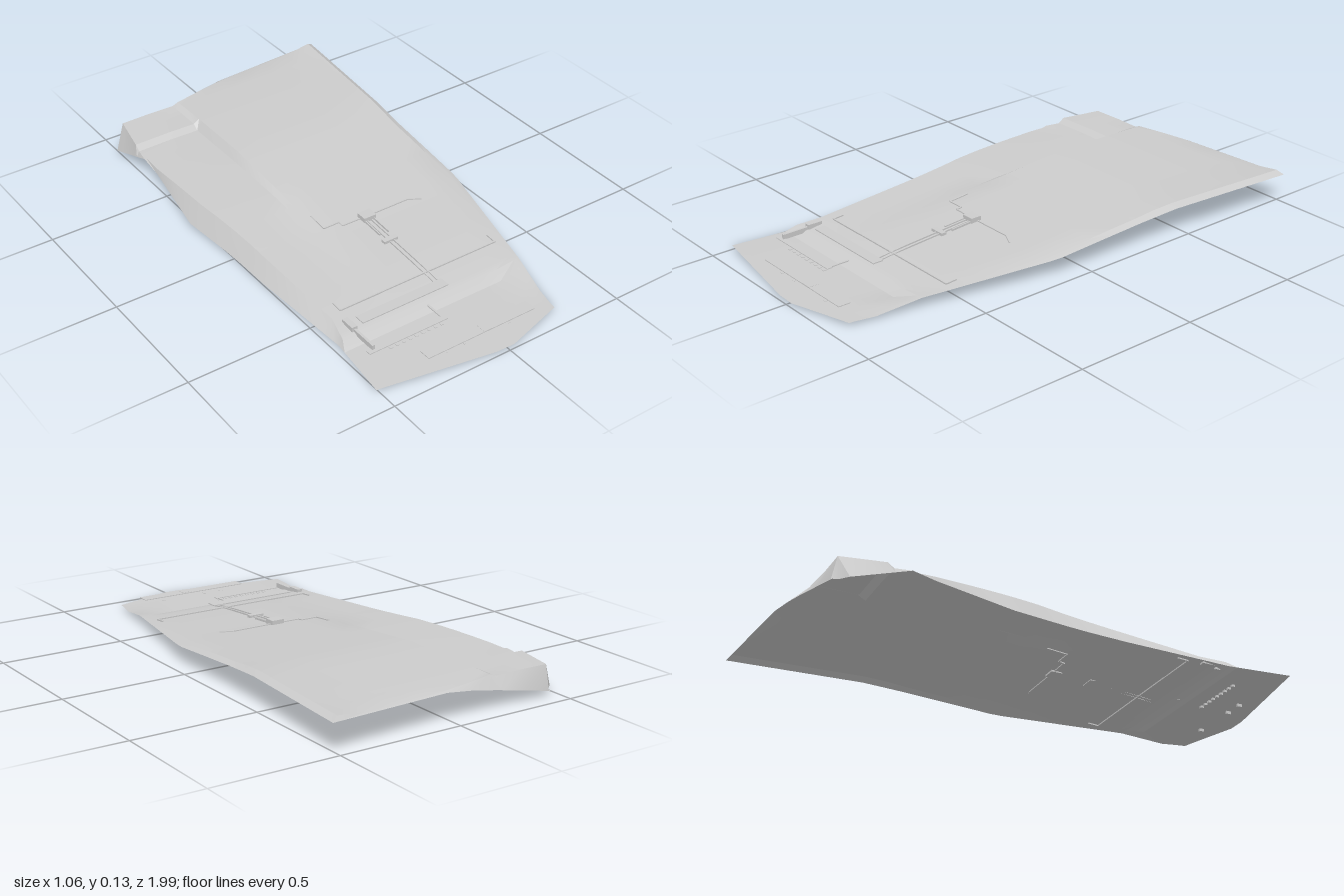
import * as THREE from 'three';
import { toCreasedNormals } from 'three/addons/utils/BufferGeometryUtils.js';

const grey = new THREE.MeshStandardMaterial({ color: 0xcccccc, side: THREE.DoubleSide });

// piecewise linear lookup through [key, value] pairs
function along(pairs, t) {
  if (t <= pairs[0][0]) return pairs[0][1];
  for (let i = 1; i < pairs.length; i++) {
    const [a, va] = pairs[i - 1], [b, vb] = pairs[i];
    if (t <= b) return va + (vb - va) * (t - a) / (b - a);
  }
  return pairs[pairs.length - 1][1];
}

// plan outline: x of the sides by z, z of the ends by x
const leftX = [[-0.93, -0.47], [-0.89, -0.51], [-0.56, -0.505], [-0.27, -0.53], [0, -0.505], [0.2, -0.5], [0.65, -0.48], [0.91, -0.51]];
const cliffX = [[-0.91, -0.46], [-0.74, -0.495], [-0.56, -0.5], [-0.25, -0.485], [0, -0.46], [0.55, -0.44], [0.65, -0.465], [0.91, -0.48]];
const rightX = [[-1, 0.53], [-0.3, 0.47], [0.12, 0.45], [0.92, 0.27]];
const backZ = [[-0.47, -0.93], [0, -0.965], [0.53, -1]];
const backRimZ = [[-0.46, -0.91], [-0.2, -0.91], [0, -0.955], [0.5, -0.985]];
const frontZ = [[-0.51, 0.91], [0, 1], [0.27, 0.92]];

// heights by z
const mainY = [[-0.96, 0.12], [-0.75, 0.127], [-0.45, 0.127], [-0.15, 0.103], [0.15, 0.076], [0.55, 0.048], [0.65, 0.034], [0.69, 0.012]];
const lowY = [[-0.91, 0.112], [-0.74, 0.112], [-0.715, 0.094], [-0.4, 0.096], [-0.15, 0.091], [0.05, 0.078], [0.15, 0.071], [0.55, 0.047], [0.65, 0.034], [0.69, 0.012]];
const leftEdgeY = [[-0.92, 0.015], [-0.88, 0.015], [-0.65, 0.095], [-0.27, 0.015], [0.2, 0.006], [0.6, 0.011]];
const rightEdgeY = [[-1, 0.118], [-0.45, 0.115], [-0.1, 0.088], [0.12, 0.07], [0.65, 0.042], [0.82, 0.012]];

const rows = [-0.965, -0.925, -0.88, -0.83, -0.74, -0.715, -0.65, -0.56, -0.45, -0.36, -0.27, -0.2, -0.15, -0.05,
  0.04, 0.1, 0.15, 0.2, 0.3, 0.42, 0.55, 0.62, 0.65, 0.69, 0.75, 0.82, 0.9, 0.95];

// centre-ground height, with the raised terrace to the right of x = -0.2
function groundY(x, z) {
  const t = THREE.MathUtils.clamp((x + 0.225) / 0.025, 0, 1);
  const gap = x < -0.225 ? 0.012 * (x + 0.5) : 0;
  const fade = THREE.MathUtils.clamp((0.1 - z) / 0.4, 0, 1);
  return THREE.MathUtils.lerp(along(lowY, z) + gap * fade, along(mainY, z), t);
}

function buildTerrain() {
  const pos = [], idx = [];
  const inner = 6, cols = 5 + inner + 1;
  rows.forEach((rz, r) => {
    const z0 = THREE.MathUtils.clamp(rz, -0.96, 0.91);
    const L = along(leftX, z0), C = along(cliffX, z0);
    const R = along(rightX, r === 0 ? -1 : r === 1 ? -0.98 : z0);
    const xs = [L, C, -0.34, -0.225, -0.2];
    for (let i = 1; i <= inner; i++) xs.push(-0.2 + (R - 0.025 + 0.2) * i / inner);
    xs.push(R);
    xs.forEach((x, c) => {
      let z = rz;
      if (r === 0) z = along(backZ, x);
      if (r === 1) z = along(backRimZ, x);
      if (r === rows.length - 1) z = along(frontZ, x);
      let y = groundY(x, z);
      if (c === 0) y = along(leftEdgeY, z);
      if (c === cols - 1) y = along(rightEdgeY, z);
      if (c === cols - 2) y = Math.max(y, along(rightEdgeY, z) + (z < -0.3 ? 0.016 : 0));
      // low back left corner
      if (r === 0) y = along([[-0.47, 0.015], [-0.2, 0.075], [0, 0.115], [0.53, 0.118]], x);
      pos.push(x, y, z);
      if (r && c) {
        const d = (r * cols) + c, b = d - cols;
        idx.push(b - 1, d - 1, b, b, d - 1, d);
      }
    });
  });
  const g = new THREE.BufferGeometry();
  g.setAttribute('position', new THREE.Float32BufferAttribute(pos, 3));
  g.setIndex(idx);
  return toCreasedNormals(g, 0.4);
}

export function createModel() {
  const model = new THREE.Group();
  const add = (name, geo, parent = model) => {
    const m = new THREE.Mesh(geo, grey);
    m.name = name;
    parent.add(m);
    return m;
  };
  // box from its x, y and z ranges
  const box = (name, x0, x1, y0, y1, z0, z1, parent) => {
    const m = add(name, new THREE.BoxGeometry(x1 - x0, y1 - y0, z1 - z0), parent);
    m.position.set((x0 + x1) / 2, (y0 + y1) / 2, (z0 + z1) / 2);
    return m;
  };
  // thin strip that follows the ground through plan points
  const strip = (name, pts, width, lift, thick) => {
    const group = new THREE.Group();
    group.name = name;
    for (let i = 1; i < pts.length; i++) {
      const [a, b] = [pts[i - 1], pts[i]].map(([x, z]) => new THREE.Vector3(x, groundY(x, z) + lift, z));
      const m = add(name + 'Piece', new THREE.BoxGeometry(width, thick, a.distanceTo(b)), group);
      m.position.copy(a).add(b).multiplyScalar(0.5);
      m.lookAt(b);
    }
    model.add(group);
  };

  add('terrain', buildTerrain());

  // floating slabs on the low front flat
  box('outerSlab', -0.285, 0.19, 0.034, 0.037, 0.855, 0.905);
  box('slabNotch', -0.04, 0.005, 0.034, 0.038, 0.865, 0.905);
  box('middleSlab', -0.43, -0.09, 0.025, 0.028, 0.74, 0.763);
  box('innerSlab', -0.365, 0.015, 0.045, 0.049, 0.588, 0.632);
  box('longWalkway', -0.41, -0.4, 0.026, 0.046, 0.64, 0.75);
  box('walkwayHead', -0.418, -0.395, 0.036, 0.055, 0.58, 0.64);
  box('shortWalkway', -0.105, -0.097, 0.024, 0.028, 0.66, 0.745);

  // piles under the slabs
  for (let i = 0; i < 9; i++) {
    const x = -0.345 + i * 0.028;
    box('pile', x, x + 0.012, 0.003, 0.014, 0.755, 0.767);
  }
  for (const x of [-0.2, -0.12, 0.08]) box('outerPile', x, x + 0.01, 0, 0.013, 0.875, 0.895);

  // low wall across the ground with short returns
  strip('lowWall', [[-0.39, 0.485], [-0.39, 0.53], [-0.1, 0.53], [0.315, 0.53], [0.315, 0.485]], 0.006, 0, 0.01);

  // central path: two rails, with platforms at its ends
  for (const x of [-0.016, 0.002]) strip('pathRail', [[x, 0.17], [x, 0.3], [x, 0.45], [x, 0.6]], 0.006, 0.003, 0.006);
  box('upperPlatform', -0.032, 0.022, 0.07, 0.094, 0.135, 0.18);
  box('middlePlatform', -0.042, 0.02, 0.062, 0.075, 0.3, 0.322);
  strip('pathSides', [[-0.026, 0.18], [-0.026, 0.27]], 0.005, 0.004, 0.008);
  strip('pathSides', [[0.014, 0.18], [0.014, 0.27]], 0.005, 0.004, 0.008);

  // cross wall that runs out from the upper platform
  strip('crossWall', [[-0.18, 0.04], [-0.18, 0.125], [-0.11, 0.125], [-0.11, 0.148], [0, 0.15], [0.19, 0.15], [0.24, 0.175]], 0.006, 0, 0.008);
  return model;
}
